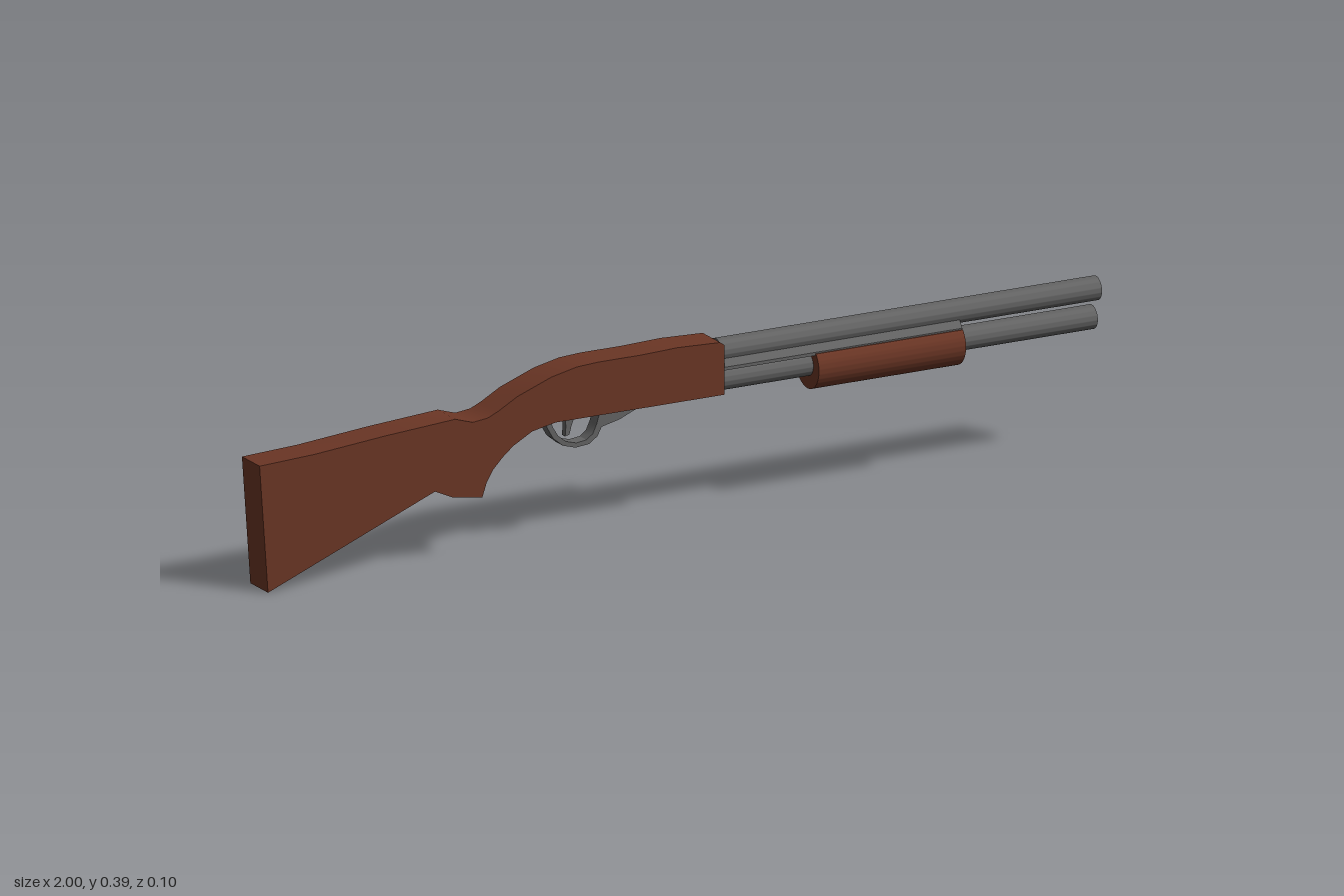
import * as THREE from 'three';
import { toCreasedNormals } from 'three/addons/utils/BufferGeometryUtils.js';

const wood = new THREE.MeshStandardMaterial({ color: 0x6b3625 });
const steel = new THREE.MeshStandardMaterial({ color: 0x636363 });

const shapeOf = (pts) => new THREE.Shape(pts.map(([x, y]) => new THREE.Vector2(x, y)));

// Side outline (x, y) extruded across z, centred on z = 0
function slab(shape, width) {
  const g = new THREE.ExtrudeGeometry(shape, { depth: width, bevelEnabled: false });
  return toCreasedNormals(g.translate(0, 0, -width / 2), 0.5);
}

// Cross-section (z, y) extruded along x from x0 to x1
function bar(shape, x0, x1) {
  const g = new THREE.ExtrudeGeometry(shape, { depth: x1 - x0, bevelEnabled: false, curveSegments: 32 });
  return toCreasedNormals(g.rotateY(Math.PI / 2).translate(x0, 0, 0), 0.5);
}

function circle(y, r) {
  const s = new THREE.Shape();
  s.absarc(0, y, r, 0, Math.PI * 2);
  return s;
}

export function createModel() {
  const group = new THREE.Group();
  const add = (name, geometry, material) => {
    const mesh = new THREE.Mesh(geometry, material);
    mesh.name = name;
    group.add(mesh);
  };

  // Stock, grip and receiver in one slab
  add('stock', slab(shapeOf([
    [-1, 0.278], [-0.98, 0], [-0.585, 0.16], [-0.543, 0.141], [-0.473, 0.13],
    [-0.463, 0.16], [-0.447, 0.187], [-0.425, 0.21], [-0.4, 0.231], [-0.355, 0.256],
    [-0.3, 0.267], [0.1, 0.267], [0.1, 0.375], [0.09, 0.382], [-0.01, 0.386],
    [-0.1, 0.383], [-0.2, 0.383], [-0.25, 0.38], [-0.31, 0.367], [-0.39, 0.337],
    [-0.435, 0.312], [-0.46, 0.301], [-0.495, 0.297], [-0.515, 0.303], [-0.537, 0.31],
    [-0.7, 0.299], [-0.87, 0.284],
  ]), 0.076), wood);

  // Hollow upper barrel
  const barrel = circle(0.353, 0.026);
  barrel.holes.push(circle(0.353, 0.022));
  add('barrel', bar(barrel, 0.1, 1), steel);

  // Solid magazine tube below it
  add('magazineTube', bar(circle(0.292, 0.026), 0.1, 0.99), steel);

  // Tapered rib joining barrel and tube
  add('rib', bar(shapeOf([
    [-0.034, 0.318], [0.034, 0.318], [0.034, 0.325], [0.018, 0.346], [-0.018, 0.346], [-0.034, 0.325],
  ]), 0.1, 0.665), steel);

  // Round pump handle with a flat top
  const flat = Math.asin(0.034 / 0.05);
  const pump = new THREE.Shape();
  pump.absarc(0, 0.288, 0.05, Math.PI - flat, Math.PI * 2 + flat);
  add('pumpHandle', bar(pump, 0.317, 0.665), wood);

  // Trigger guard
  const guard = shapeOf([
    [-0.312, 0.27], [-0.307, 0.25], [-0.292, 0.224], [-0.27, 0.206], [-0.24, 0.197],
    [-0.208, 0.2], [-0.188, 0.214], [-0.178, 0.233], [-0.135, 0.243], [-0.09, 0.262], [-0.09, 0.27],
  ]);
  guard.holes.push(shapeOf([
    [-0.298, 0.266], [-0.294, 0.25], [-0.281, 0.229], [-0.263, 0.214], [-0.238, 0.207],
    [-0.214, 0.21], [-0.199, 0.221], [-0.19, 0.24], [-0.182, 0.266],
  ]));
  add('triggerGuard', slab(guard, 0.03), steel);

  // Curved trigger
  add('trigger', slab(shapeOf([
    [-0.262, 0.27], [-0.258, 0.245], [-0.26, 0.222], [-0.25, 0.225], [-0.245, 0.243], [-0.235, 0.27],
  ]), 0.014), steel);

  return group;
}
